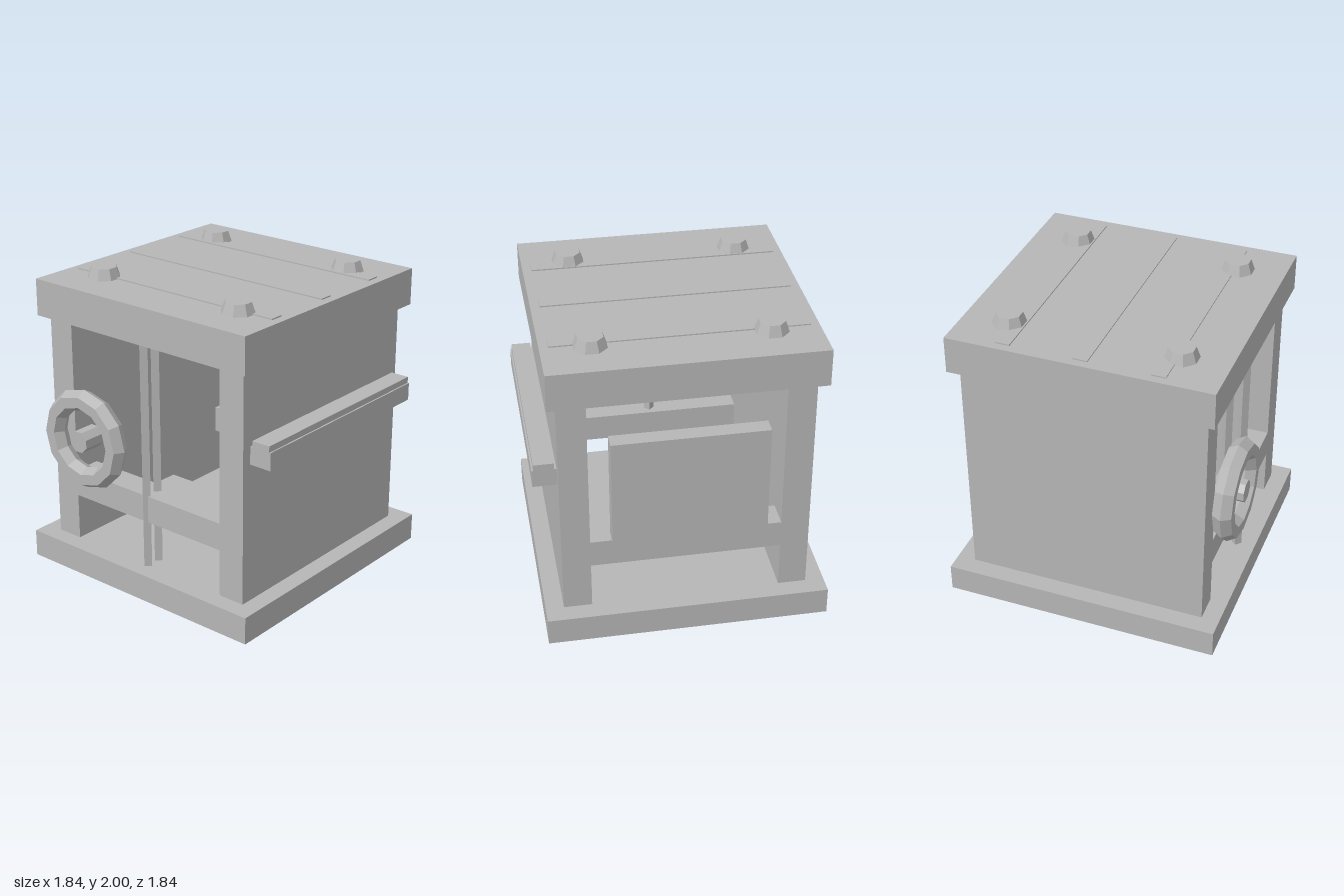
import * as THREE from 'three';

export function createModel() {
  const model = new THREE.Group();
  model.name = 'machineFrame';
  const grey = new THREE.MeshStandardMaterial({ color: 0xb6b6b6, flatShading: true });
  grey.name = 'plain grey';

  const add = (name, geometry, x, y, z) => {
    const mesh = new THREE.Mesh(geometry, grey);
    mesh.name = name;
    mesh.position.set(x, y, z);
    model.add(mesh);
    return mesh;
  };
  // Box given by its limits on each axis
  const box = (name, x0, x1, y0, y1, z0, z1) => add(name,
    new THREE.BoxGeometry(x1 - x0, y1 - y0, z1 - z0),
    (x0 + x1) / 2, (y0 + y1) / 2, (z0 + z1) / 2);

  // Base and top slabs
  box('base', -0.92, 0.88, 0, 0.18, -0.92, 0.885);
  box('topSlab', -0.86, 0.82, 1.69, 1.93, -0.86, 0.825);

  // Thick side walls
  box('rightWall', -0.8, -0.62, 0.18, 1.69, -0.8, 0.77);
  box('leftWall', 0.585, 0.765, 0.18, 1.69, -0.8, 0.77);

  // Cross rails between the walls, and the low bar on the floor
  box('frontRail', -0.62, 0.585, 0.49, 0.67, 0.59, 0.77);
  box('backRail', -0.62, 0.585, 0.49, 0.67, -0.8, -0.62);
  box('floorBar', -0.62, 0.585, 0.18, 0.305, -0.16, 0.13);

  // Back panel
  box('backPanel', -0.505, 0.46, 0.73, 1.445, -0.905, -0.8);

  // Stepped side ledge
  box('ledge', 0.765, 0.915, 1.09, 1.205, -0.74, 0.705);
  box('ledgeCap', 0.78, 0.905, 1.205, 1.245, -0.74, 0.705);

  // Upright rods in the front opening
  for (const z of [0.757, 0.657]) {
    add('uprightRod', new THREE.CylinderGeometry(0.034, 0.034, 1.51, 4), -0.021, 0.935, z);
  }

  // Hand wheel and its hub
  add('handWheel', new THREE.TorusGeometry(0.263, 0.07, 6, 12), -0.442, 0.967, 0.853);
  const hub = new THREE.CylinderGeometry(0.073, 0.073, 0.15, 8);
  hub.rotateY(Math.PI / 8).rotateX(Math.PI / 2);
  add('wheelHub', hub, -0.442, 0.967, 0.845);

  // Thin strips and tapered bolts on the top
  for (const z of [-0.505, -0.015, 0.465]) {
    box('topStrip', -0.805, 0.762, 1.93, 1.938, z - 0.045, z + 0.045);
  }
  for (const x of [-0.562, 0.522]) {
    for (const z of [-0.567, 0.522]) {
      const bolt = new THREE.CylinderGeometry(0.083, 0.108, 0.07, 8);
      bolt.rotateY(Math.PI / 8);
      add('topBolt', bolt, x, 1.965, z);
    }
  }
  return model;
}
